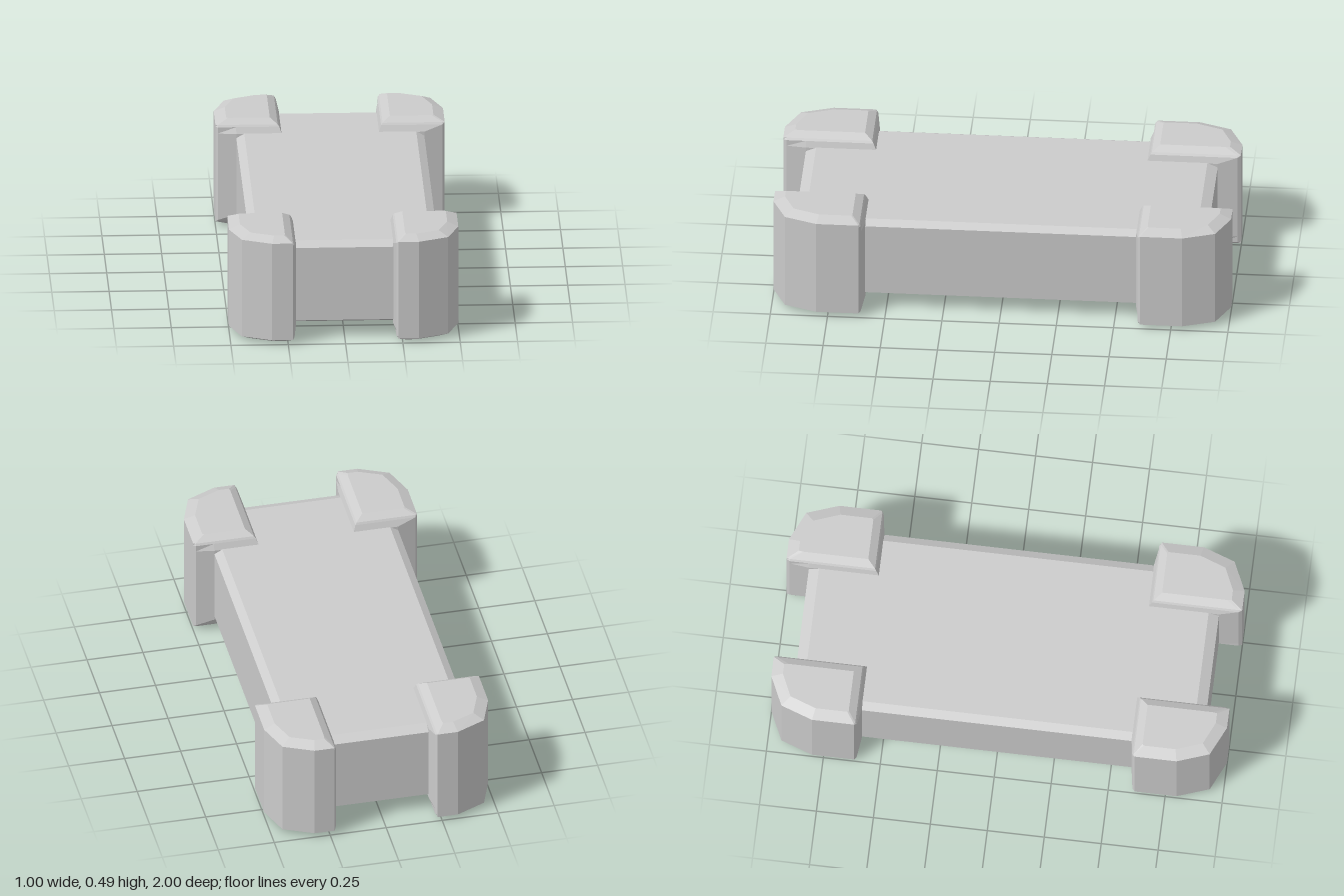
import * as THREE from 'three';

const material = new THREE.MeshStandardMaterial({ color: 0xcccccc, flatShading: true });

// Skins a stack of rings [y, [[x, z], ...]] from bottom to top and caps both ends.
// Ring points run counter-clockwise as seen from above.
function loft(rings) {
  const n = rings[0][1].length;
  const positions = [];
  const index = [];
  rings.forEach(([y, points], i) => {
    for (const [x, z] of points) positions.push(x, y, z);
    if (i === 0) return;
    for (let j = 0; j < n; j++) {
      const k = (j + 1) % n;
      const low = (i - 1) * n;
      const high = i * n;
      index.push(low + j, low + k, high + k, low + j, high + k, high + j);
    }
  });
  const top = (rings.length - 1) * n;
  for (let j = 1; j < n - 1; j++) {
    index.push(top, top + j, top + j + 1);
    index.push(0, j + 1, j);
  }
  const geometry = new THREE.BufferGeometry();
  geometry.setAttribute('position', new THREE.Float32BufferAttribute(positions, 3));
  geometry.setIndex(index);
  const flat = geometry.toNonIndexed();
  flat.computeVertexNormals();
  return flat;
}

const rectangle = (x, z) => [[-x, -z], [-x, z], [x, z], [x, -z]];

// Corner pad outline: two inner edges flare from the body to the lip,
// the outer side is a faceted round.
function padOutline(innerX, innerZ) {
  return [
    [innerX, innerZ], [innerX, 0.9], [Math.max(innerX, 0.222), 0.985], [0.23, 1],
    [0.32, 1], [0.45, 0.94], [0.5, 0.8],
    [0.5, 0.615], [0.49, Math.max(innerZ, 0.605)], [0.41, innerZ],
  ];
}

const padFace = [
  [0.262, 0.645], [0.262, 0.85], [0.262, 0.93], [0.265, 0.95],
  [0.31, 0.95], [0.41, 0.905], [0.452, 0.79],
  [0.452, 0.65], [0.445, 0.645], [0.41, 0.645],
];

// Lower half of the pad, mirrored in height to give the upper half
const padHeight = 0.486;
const lowerRings = [
  [0, padFace],
  [0.021, padOutline(0.229, 0.611)],
  [0.03, padOutline(0.222, 0.605)],
  [0.058, padOutline(0.212, 0.592)],
];
const padRings = [
  ...lowerRings,
  ...lowerRings.map(([y, points]) => [padHeight - y, points]).reverse(),
];

function cornerPad(sx, sz) {
  const rings = padRings.map(([y, points]) => {
    const mirrored = points.map(([x, z]) => [x * sx, z * sz]);
    return [y, sx * sz < 0 ? mirrored.reverse() : mirrored];
  });
  return new THREE.Mesh(loft(rings), material);
}

export function createModel() {
  const model = new THREE.Group();
  model.name = 'blockWithCornerPads';

  // Long body with bevelled top and bottom edges
  const body = new THREE.Mesh(loft([
    [0.058, rectangle(0.375, 0.855)],
    [0.077, rectangle(0.41, 0.9)],
    [0.41, rectangle(0.41, 0.9)],
    [0.43, rectangle(0.375, 0.855)],
  ]), material);
  body.name = 'body';
  model.add(body);

  // Four protective pads wrapping the corners
  for (const sx of [-1, 1]) {
    for (const sz of [-1, 1]) {
      const pad = cornerPad(sx, sz);
      pad.name = (sz > 0 ? 'front' : 'back') + (sx > 0 ? 'Left' : 'Right') + 'CornerPad';
      model.add(pad);
    }
  }
  return model;
}
